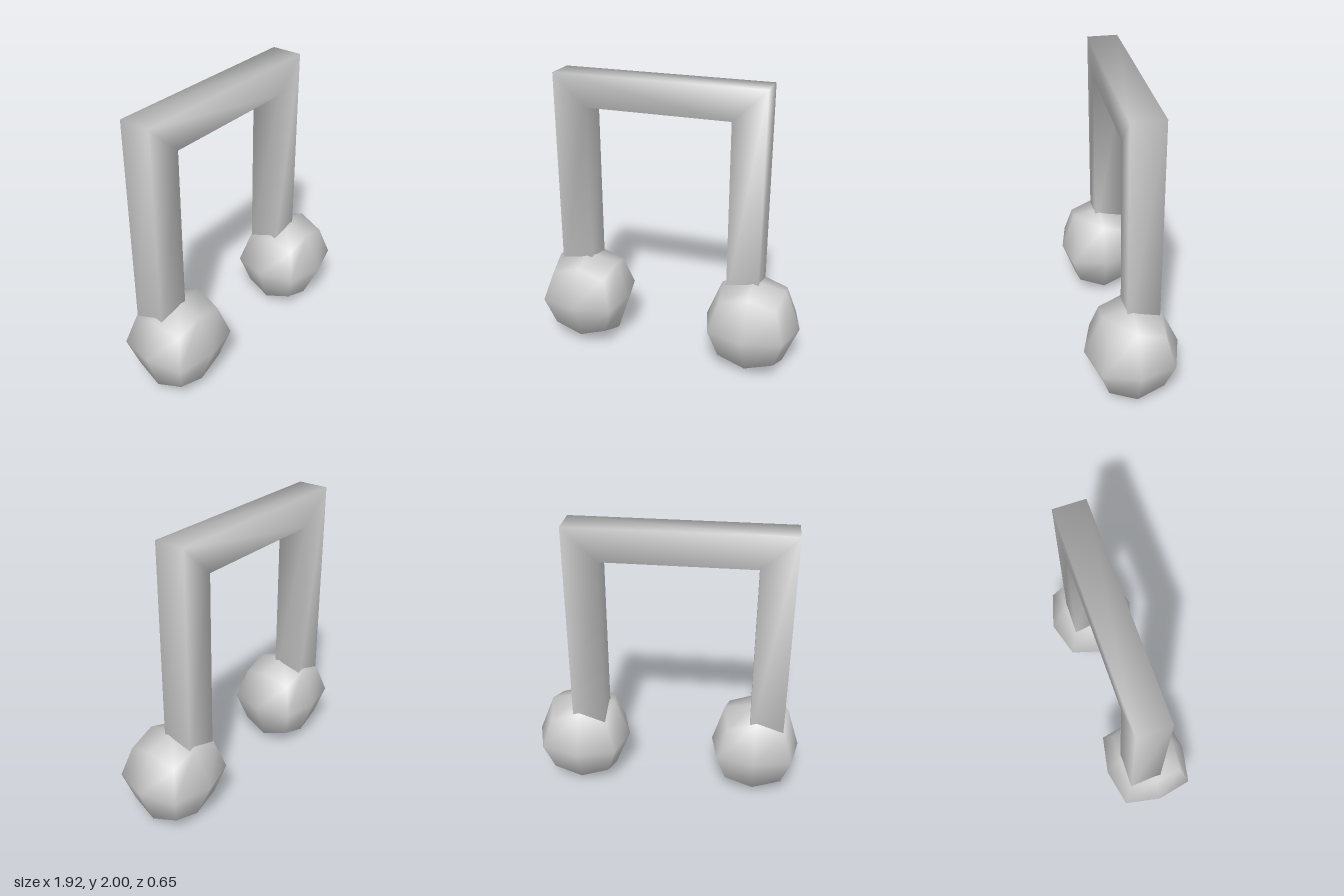
import * as THREE from 'three';
import { mergeVertices } from 'three/addons/utils/BufferGeometryUtils.js';

const material = new THREE.MeshStandardMaterial({ color: 0xcccccc });

// Faceted ball: a cube split 2x2 per side, its points pushed out by kind
// (face centres to the radii, edge midpoints and corners to fixed offsets).
function ballGeometry(radii) {
  const box = new THREE.BoxGeometry(2, 2, 2, 2, 2, 2);
  box.deleteAttribute('uv');
  box.deleteAttribute('normal');
  const geometry = mergeVertices(box);
  const p = geometry.attributes.position;
  for (let i = 0; i < p.count; i++) {
    const x = Math.round(p.getX(i)), y = Math.round(p.getY(i)), z = Math.round(p.getZ(i));
    const kind = Math.abs(x) + Math.abs(y) + Math.abs(z);
    let s = radii;
    if (kind === 3) s = [0.2, 0.21, 0.19];
    else if (kind === 2 && z === 0) s = [0.228, 0.277, 0];
    else if (kind === 2 && y === 0) s = [0.263, 0, 0.247];
    else if (kind === 2) s = [0, 0.275, 0.2];
    p.setXYZ(i, x * s[0], y * s[1], z * s[2]);
  }
  geometry.computeVertexNormals();
  return geometry;
}

// Square bar swept up, across and down with mitred corners and soft shading
function frameGeometry() {
  const front = 0.035, back = -0.185, bottom = 0.48;
  // outer x, outer y, inner x, inner y at each station
  const stations = [
    [-0.84, bottom, -0.605, bottom],
    [-0.84, 2, -0.605, 1.775],
    [0.655, 2, 0.425, 1.775],
    [0.655, bottom, 0.425, bottom],
  ];
  const positions = [], index = [];
  stations.forEach(([ox, oy, ix, iy], i) => {
    positions.push(ox, oy, front, ix, iy, front, ix, iy, back, ox, oy, back);
    if (i === 3) return;
    for (let j = 0; j < 4; j++) {
      const a = i * 4 + j, b = i * 4 + (j + 1) % 4;
      index.push(a, b, b + 4, a, b + 4, a + 4);
    }
  });
  index.push(0, 3, 2, 0, 2, 1, 12, 13, 14, 12, 14, 15);
  const geometry = new THREE.BufferGeometry();
  geometry.setAttribute('position', new THREE.Float32BufferAttribute(positions, 3));
  geometry.setIndex(index);
  geometry.computeVertexNormals();
  return geometry;
}

export function createModel() {
  const group = new THREE.Group();
  group.name = 'beamedNotes';
  const add = (name, geometry, x = 0, y = 0) => {
    const mesh = new THREE.Mesh(geometry, material);
    mesh.name = name;
    mesh.position.set(x, y, 0);
    group.add(mesh);
  };

  // Two stems joined by the top beam
  add('stemsAndBeam', frameGeometry());

  // Note heads
  add('rightNoteHead', ballGeometry([0.313, 0.315, 0.3]), -0.648, 0.338);
  add('leftNoteHead', ballGeometry([0.338, 0.323, 0.325]), 0.617, 0.323);
  return group;
}
